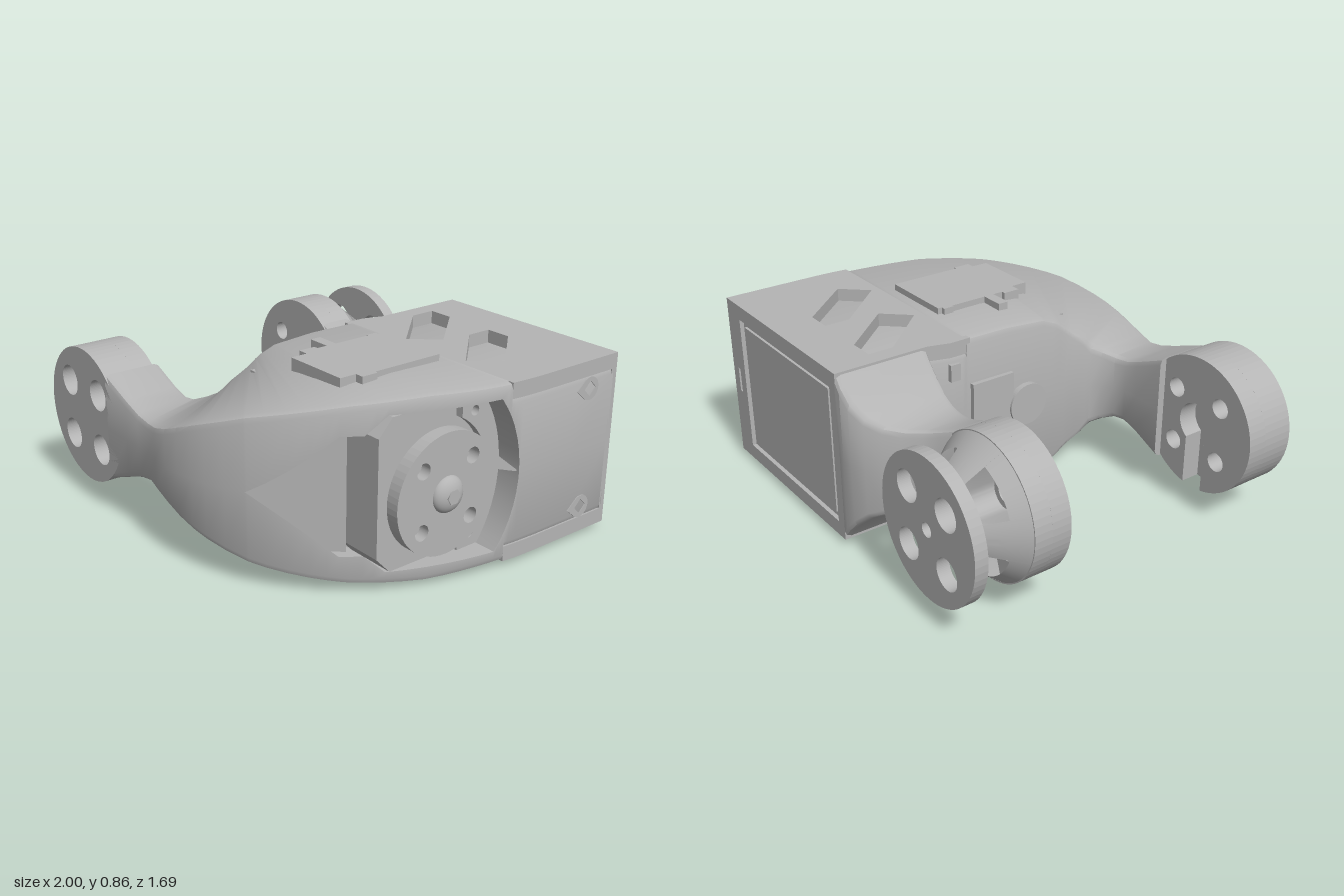
import * as THREE from 'three';
import { toCreasedNormals } from 'three/addons/utils/BufferGeometryUtils.js';

const grey = new THREE.MeshStandardMaterial({ color: 0xb4b4b4, side: THREE.DoubleSide });
grey.name = 'greyPlastic';

// Piecewise linear lookup, keys ascending
function lookup(t, table) {
  if (t <= table[0][0]) return table[0][1];
  for (let i = 1; i < table.length; i++) {
    const [a, u] = table[i - 1], [b, v] = table[i];
    if (t <= b) return u + (v - u) * (t - a) / (b - a);
  }
  return table[table.length - 1][1];
}

// Loft through sections standing between an outer and an inner plan point
function loft(stations) {
  const r = 0.03;
  const rings = stations.map(({ o, i, ho, hi, w = 0 }) => {
    const len = Math.hypot(i[0] - o[0], i[1] - o[1]);
    const d = [(i[0] - o[0]) / len, (i[1] - o[1]) / len];
    const at = (p, k, y) => [p[0] + d[0] * k, y, p[1] + d[1] * k];
    const half = [
      [o[0] - (w > 0 ? 0.16 : 0), w, o[1]], at(o, 0, w), at(o, 0, ho - r), at(o, r * 0.3, ho - r * 0.3),
      at(o, r, ho), at(i, -r, hi), at(i, -r * 0.3, hi - r * 0.3), at(i, 0, hi - r), at(i, 0, 0),
    ];
    return [...half, ...half.slice(0, -1).reverse().map(([x, y, z]) => [x, -y, z])];
  });
  const pos = [], n = rings[0].length;
  for (let s = 0; s + 1 < rings.length; s++)
    for (let k = 0; k + 1 < n; k++) {
      const a = rings[s][k], b = rings[s + 1][k], c = rings[s + 1][k + 1], e = rings[s][k + 1];
      pos.push(...a, ...b, ...c, ...a, ...c, ...e);
    }
  [[rings[0], stations[0]], [rings[rings.length - 1], stations[stations.length - 1]]].forEach(([ring, s]) => {
    const mid = [(s.o[0] + s.i[0]) / 2, 0, (s.o[1] + s.i[1]) / 2];
    for (let k = 0; k + 1 < n; k++) pos.push(...ring[k], ...ring[k + 1], ...mid);
  });
  const g = new THREE.BufferGeometry();
  g.setAttribute('position', new THREE.Float32BufferAttribute(pos, 3));
  return toCreasedNormals(g, 0.6);
}

const poly = (pts) => new THREE.Shape(pts.map((p) => new THREE.Vector2(...p)));
const rect = (x0, y0, x1, y1) => poly([[x0, y0], [x1, y0], [x1, y1], [x0, y1]]);
const circle = (x, y, r) => new THREE.Shape().absarc(x, y, r, 0, Math.PI * 2);
function fourHoles(shape, x, y, d, r) {
  for (const a of [-d, d]) for (const b of [-d, d]) shape.holes.push(circle(x + a, y + b, r));
  return shape;
}
const extrude = (shape, depth, bevel = 0) => new THREE.ExtrudeGeometry(shape, {
  depth, curveSegments: 32, bevelEnabled: bevel > 0, bevelSize: bevel, bevelThickness: bevel, bevelOffset: -bevel, bevelSegments: 2,
});

// Plan curve of the outer wall and half height of its side window
const outerX = (z) => z < -0.4 ? 0.99 : 0.05 + 0.94 * Math.sqrt(Math.max(0, 1 - ((z + 0.4) / 1.24) ** 2));
const windowHalf = (z) => z < -0.17
  ? Math.sqrt(Math.max(0, 0.58 ** 2 - (z - 0.3) ** 2))
  : lookup(z, [[-0.17, 0.34], [0.3, 0.34], [0.38, 0.26], [0.46, 0.26], [0.72, 0]]);

export function createModel() {
  const model = new THREE.Group();
  const root = new THREE.Group();
  root.name = 'servoBracket';
  root.position.y = 0.43;
  model.add(root);
  const add = (name, geometry, x = 0, y = 0, z = 0, parent = root) => {
    const m = new THREE.Mesh(geometry, grey);
    m.name = name;
    m.position.set(x, y, z);
    parent.add(m);
    return m;
  };
  const box = (name, x0, x1, y0, y1, z0, z1) => add(name,
    new THREE.BoxGeometry(x1 - x0, y1 - y0, z1 - z0), (x0 + x1) / 2, (y0 + y1) / 2, (z0 + z1) / 2);
  // Shapes drawn in (-z, y), extruded towards +x
  const alongX = (name, shape, x0, x1) => add(name, extrude(shape, x1 - x0).rotateY(Math.PI / 2), x0);
  const alongZ = (name, shape, z0, z1) => add(name, extrude(shape, z1 - z0), 0, 0, z0);

  // Main shell: front neck sweeping round into the tall block
  const shell = [
    { o: [-0.47, 0.82], i: [-0.47, 0.54], ho: 0.25, hi: 0.25 },
    { o: [-0.3, 0.82], i: [-0.32, 0.54], ho: 0.185, hi: 0.185 },
    { o: [-0.2, 0.82], i: [-0.25, 0.535], ho: 0.152, hi: 0.16 },
    { o: [-0.12, 0.82], i: [-0.19, 0.52], ho: 0.14, hi: 0.16 },
    { o: [-0.04, 0.835], i: [-0.14, 0.48], ho: 0.15, hi: 0.18 },
  ];
  const zs = [0.84, 0.835, 0.82, 0.8, 0.765, 0.7201, 0.715, 0.67, 0.61, 0.55, 0.5, 0.46, 0.42, 0.38, 0.34, 0.3, 0.22, 0.14,
    0.06, -0.02, -0.1, -0.17, -0.2, -0.2199, -0.22, -0.24, -0.26, -0.272, -0.2785, -0.2801, -0.4, -0.6, -0.83];
  for (const z of zs) {
    const x = outerX(z), iz = lookup(z, [[-0.83, -0.83], [-0.22, -0.22], [0.3, 0.2], [0.55, 0.27], [0.7, 0.33], [0.8, 0.4], [0.84, 0.44]]);
    const low = z <= -0.22;
    shell.push({
      o: [x, z],
      i: [lookup(iz, [[-0.4, -0.02], [-0.3, -0.05], [0.2, -0.06], [0.33, -0.07], [0.44, -0.11]]), iz],
      ho: low ? 0.34 : lookup(x, [[0.05, 0.175], [0.25, 0.25], [0.47, 0.325], [0.75, 0.39], [0.9, 0.41], [0.98, 0.4]]),
      hi: low ? 0.34 : lookup(iz, [[0, 0.4], [0.2, 0.385], [0.28, 0.35], [0.4, 0.25], [0.44, 0.2]]),
      w: windowHalf(z),
    });
  }
  add('mainShell', loft(shell));

  // Block skins above and below, each with two slanted pockets
  const edge = [-0.22, -0.28, -0.34, -0.4, -0.84].map((z) => [outerX(z), z]);
  for (const top of [true, false]) {
    const skin = poly([[-0.02, -0.84], [-0.02, -0.4], [-0.05, -0.3], [-0.05, -0.2], ...edge]);
    for (const dx of [0, 0.37])
      skin.holes.push(poly([[0.06, -0.64], [0.18, -0.64], [0.41, -0.38], [0.3, -0.26], [0.06, -0.52]].map(([x, z]) => [x + dx, z])));
    add(top ? 'topSkin' : 'bottomSkin', extrude(skin, 0.07).rotateX(Math.PI / 2), 0, top ? 0.4 : -0.33);
    // Raised cover plate with stepped outline and small tabs
    const cover = poly([[0.24, -0.17], [0.605, -0.17], [0.605, 0.18], [0.62, 0.18], [0.62, 0.26], [0.58, 0.26], [0.58, 0.34],
      [0.26, 0.34], [0.26, 0.26], [0.21, 0.26], [0.21, 0.18], [0.23, 0.18], [0.23, 0.13], [0.12, 0.13], [0.12, 0.08], [0.23, 0.08],
      [0.23, -0.1], [0.22, -0.1], [0.22, -0.15], [0.24, -0.15]]);
    add(top ? 'topCover' : 'bottomCover', extrude(cover, 0.08).rotateX(Math.PI / 2), 0, top ? 0.43 : -0.35);
  }

  // Rear frame with sunk panel
  const frame = rect(-0.02, -0.4, 0.99, 0.4);
  frame.holes.push(rect(0.03, -0.33, 0.87, 0.33), rect(0.92, -0.06, 0.94, 0.06));
  alongZ('rearFrame', frame, -0.85, -0.82);
  box('rearRecess', 0, 0.96, -0.35, 0.35, -0.825, -0.7);
  box('rearPanel', 0.06, 0.84, -0.3, 0.3, -0.842, -0.8);

  // Servo body inside the side window
  box('servoCore', 0.05, 0.6, -0.33, 0.33, -0.7, 0.4);
  const arc = [];
  for (let k = 0; k <= 16; k++) {
    const a = -0.62 + k * 1.24 / 16;
    arc.push([0.575 * Math.cos(a) - 0.3, 0.575 * Math.sin(a)]);
  }
  alongX('servoCase', poly([[-0.36, -0.26], [-0.29, -0.335], ...arc, [-0.29, 0.335], [-0.36, 0.26]]), 0.58, 0.84);
  const ear = poly([[0.05, -0.335], ...arc, [0.05, 0.335]]);
  const rim = [];
  for (let k = 0; k <= 20; k++) {
    const a = 1.05 - k * 2.1 / 20;
    rim.push([-0.1 + 0.3 * Math.cos(a), 0.3 * Math.sin(a)]);
  }
  const ears = poly([[0.05, -0.335], ...arc, [0.05, 0.335], ...rim]);
  for (const y of [-0.275, 0.275]) ears.holes.push(circle(0.12, y, 0.022));
  alongX('servoEars', ears, 0.83, 0.875);

  // Flat facet leading into the window
  const facet = new THREE.BufferGeometry();
  const fx = 0.71;
  facet.setAttribute('position', new THREE.Float32BufferAttribute([
    0.45, 0, 0.72, 0.667, -0.26, 0.46, 0.667, 0.26, 0.46,
    0.667, 0.26, 0.46, 0.667, -0.26, 0.46, fx, -0.26, 0.41,
    0.667, 0.26, 0.46, fx, -0.26, 0.41, fx, 0.26, 0.41], 3));
  facet.computeVertexNormals();
  add('windowFacet', facet);

  // Output horn and its screw
  alongX('hornCollar', circle(-0.1, 0, 0.2), 0.83, 0.91);
  alongX('servoHorn', fourHoles(circle(-0.1, 0, 0.265), -0.1, 0, 0.132, 0.035), 0.9, 0.96);
  add('hornScrew', new THREE.SphereGeometry(0.08, 32, 16).scale(0.56, 1, 1), 0.955, 0, 0.1);
  add('screwSocket', new THREE.CylinderGeometry(0.034, 0.034, 0.008, 6).rotateZ(Math.PI / 2), 0.996, 0, 0.1);

  // Pointed screw seats on the side of the block
  for (const y of [-0.275, 0.275]) {
    const seat = new THREE.Shape().absarc(0.68, y, 0.052, -2.3, 2.3);
    seat.lineTo(0.6, y);
    seat.closePath();
    seat.holes.push(poly([[0.645, y], [0.68, y - 0.035], [0.715, y], [0.68, y + 0.035]]));
    alongX('screwSeat', seat, 0.985, 0.994);
  }

  // Inner wall fittings
  box('connectorBlock', -0.075, 0, -0.18, 0.18, -0.2, 0.02);
  box('connectorTab', -0.065, 0, 0.22, 0.3, -0.31, -0.26);
  alongX('innerBoss', circle(-0.1, 0, 0.1), -0.085, 0);

  // Round arm ends: a drilled layer and a keyhole layer
  const cx = -0.68, R = 0.32;
  const keyhole = () => {
    const a = Math.asin(0.055 / R), b = Math.asin(0.055 / 0.1), q = Math.PI / 2;
    const s = new THREE.Shape().absarc(cx, 0, R, -q + a, 3 * q - a);
    s.absarc(cx, 0, 0.1, 3 * q - b, -q + b, true);
    s.closePath();
    return s;
  };
  alongZ('frontArmOuter', fourHoles(circle(cx, 0, R), cx, 0, 0.132, 0.072), 0.74, 0.82);
  alongZ('frontArmMiddle', fourHoles(circle(cx, 0, R), cx, 0, 0.132, 0.045), 0.67, 0.74);
  alongZ('frontArmInner', fourHoles(keyhole(), cx, 0, 0.132, 0.045), 0.575, 0.67);
  alongZ('rearArmOuter', fourHoles(circle(cx, 0, R), cx, 0, 0.132, 0.045), -0.575, -0.49);
  alongZ('rearArmInner', fourHoles(keyhole(), cx, 0, 0.132, 0.045), -0.49, -0.4);

  // Rear neck flaring into the block
  add('rearNeck', loft([[-0.47, -0.575, 0.25], [-0.4, -0.6, 0.222], [-0.34, -0.64, 0.205], [-0.28, -0.7, 0.2], [-0.22, -0.76, 0.21],
    [-0.16, -0.81, 0.24], [-0.1, -0.842, 0.295], [-0.05, -0.85, 0.35], [-0.015, -0.85, 0.395], [0.03, -0.84, 0.395]]
    .map(([x, z, h]) => ({ o: [x, z], i: [x, -0.4], ho: h, hi: h }))));

  // Rear wheel on a conical hub scooped out around the four holes
  alongZ('rearWheel', (() => {
    const s = fourHoles(circle(cx, 0, R), cx, 0, 0.132, 0.07);
    s.holes.push(circle(cx, 0, 0.032));
    return s;
  })(), -0.85, -0.79);
  const hub = new THREE.CylinderGeometry(1, 1, 1, 144, 10, true);
  const p = hub.attributes.position, D = 0.187, scoop = 0.072;
  for (let k = 0; k < p.count; k++) {
    const t = p.getY(k) + 0.5, a = Math.atan2(p.getZ(k), p.getX(k));
    const q = a - (Math.floor(a / (Math.PI / 2)) + 0.5) * Math.PI / 2;
    let rad = 0.315 - 0.175 * t;
    const side = D * Math.sin(Math.abs(q));
    if (side < scoop) rad = Math.min(rad, D * Math.cos(q) - Math.sqrt(scoop ** 2 - side ** 2));
    p.setXYZ(k, cx + rad * Math.cos(a), rad * Math.sin(a), -0.575 - 0.22 * t);
  }
  add('hubCone', toCreasedNormals(hub, 0.6));
  add('hubLip', new THREE.CylinderGeometry(0.315, 0.263, 0.065, 64, 1, true).rotateX(Math.PI / 2), cx, 0, -0.6075);
  return model;
}
